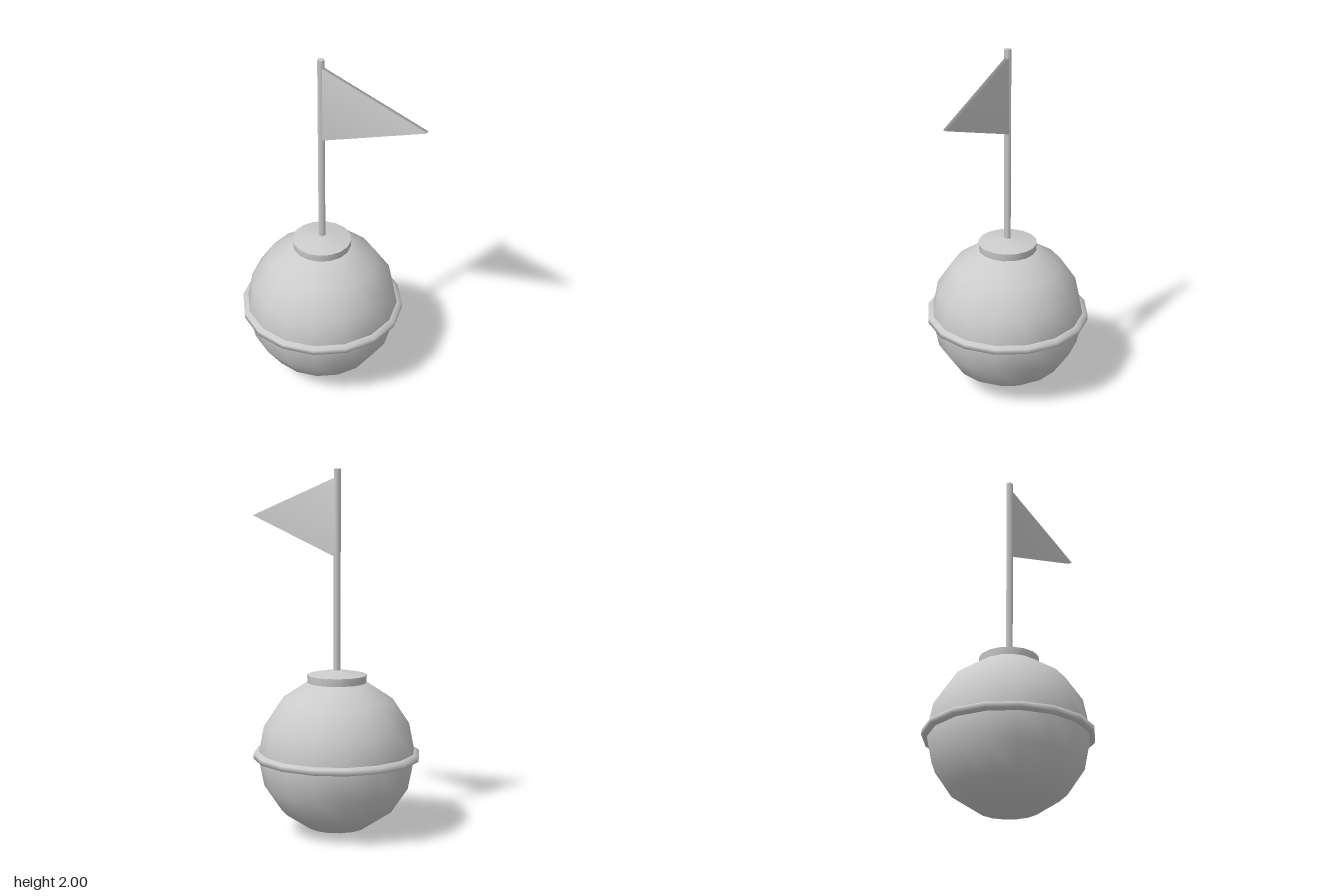
import * as THREE from 'three';
import { mergeVertices } from 'three/addons/utils/BufferGeometryUtils.js';

const AXIS_X = -0.075;
const SIDES = 16;

export function createModel() {
  const model = new THREE.Group();
  const material = new THREE.MeshStandardMaterial({ color: 0xcccccc });

  const add = (name, geometry, x, y) => {
    const mesh = new THREE.Mesh(geometry, material);
    mesh.name = name;
    mesh.position.set(x, y, 0);
    model.add(mesh);
  };
  const lathe = (points) =>
    new THREE.LatheGeometry(points.map(([r, y]) => new THREE.Vector2(r, y)), SIDES);

  // Round float, standing on its lower pole
  add('floatBody', new THREE.SphereGeometry(0.436, SIDES, 8), AXIS_X, 0.438);

  // Thin rim around the equator
  add('rim', lathe([[0.41, 0.413], [0.43, 0.416], [0.461, 0.424], [0.461, 0.453], [0.43, 0.462], [0.41, 0.465]]), AXIS_X, 0);

  // Collar with a shallow conical top
  add('collar', lathe([[0.15, 0.8], [0.162, 0.835], [0.165, 0.884]]), AXIS_X, 0);
  add('collarTop', lathe([[0.165, 0.884], [0.08, 0.901], [0, 0.912]]), AXIS_X, 0);

  // Five-sided flagpole with one corner pointing backwards
  add('flagpole', new THREE.CylinderGeometry(0.02, 0.02, 1.14, 5, 1, false, Math.PI), AXIS_X, 1.43);

  // Triangular pennant, softly shaded across its edges
  const outline = new THREE.Shape();
  outline.moveTo(-0.065, 1.53);
  outline.lineTo(0.53, 1.742);
  outline.lineTo(-0.065, 1.953);
  outline.closePath();
  let pennant = new THREE.ExtrudeGeometry(outline, { depth: 0.025, bevelEnabled: false });
  pennant.translate(0, 0, -0.0125);
  pennant.deleteAttribute('normal');
  pennant.deleteAttribute('uv');
  pennant = mergeVertices(pennant);
  pennant.computeVertexNormals();
  add('pennant', pennant, 0, 0);

  return model;
}
